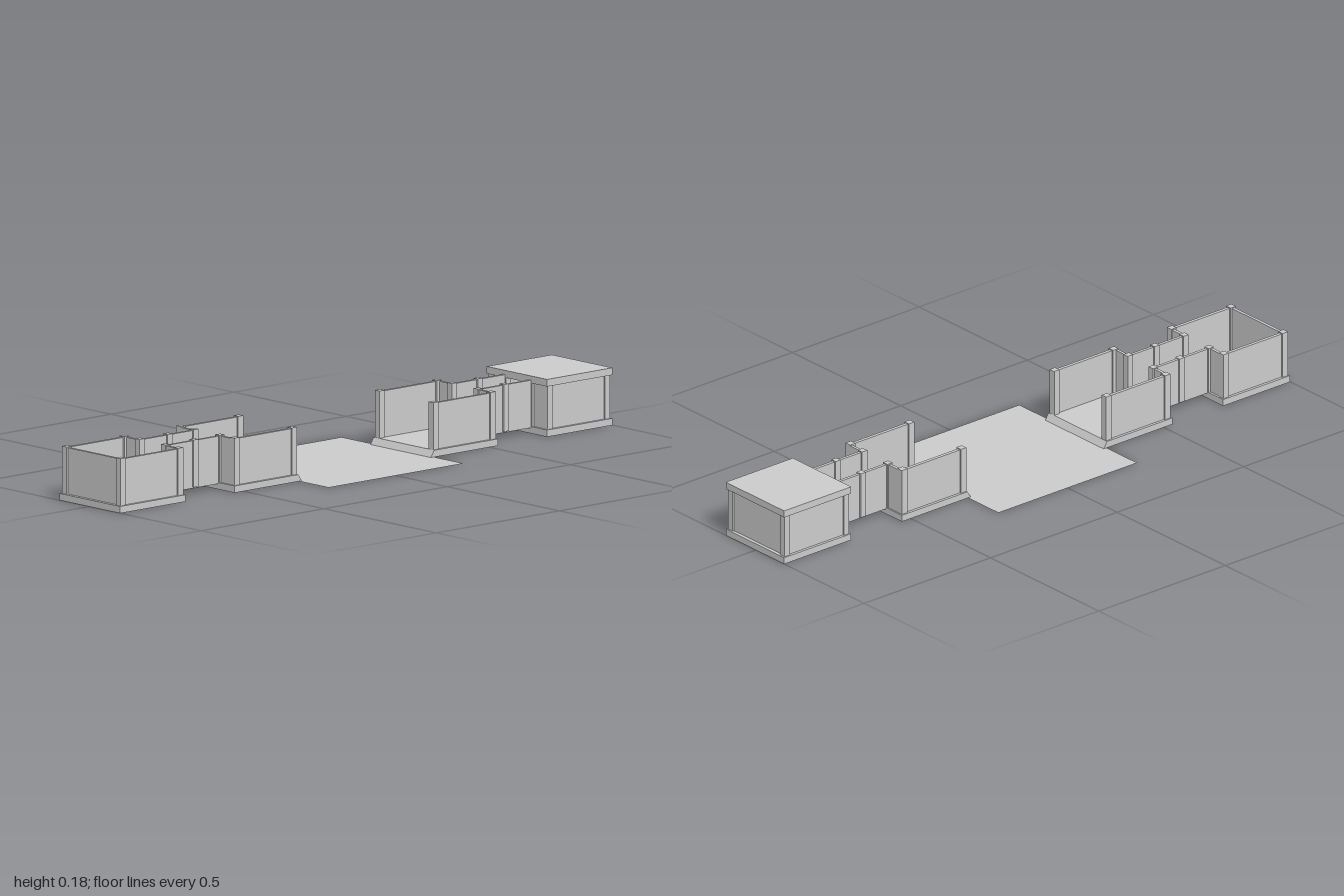
import * as THREE from 'three';

const grey = new THREE.MeshStandardMaterial({ color: 0xcccccc, flatShading: true, side: THREE.DoubleSide });
const ZC = 0.004; // the rooms sit slightly forward of the plaza centre
const HALF = 0.135; // half depth of a room base
const FLOOR = 0.021, WALL_TOP = 0.163, POST_TOP = 0.166;

// Box given by its limits
function box(parent, name, x0, x1, y0, y1, z0, z1) {
  const mesh = new THREE.Mesh(new THREE.BoxGeometry(Math.abs(x1 - x0), y1 - y0, Math.abs(z1 - z0)), grey);
  mesh.position.set((x0 + x1) / 2, (y0 + y1) / 2, (z0 + z1) / 2);
  mesh.name = name;
  parent.add(mesh);
}

function post(parent, x, z, size = 0.021) {
  const h = size / 2;
  box(parent, 'post', x - h, x + h, FLOOR, POST_TOP, z - h, z + h);
}

// Walls and posts that repeat on both long sides of a room
function roomSides(room, x0, x1, s) {
  box(room, 'sideWall', x0, x1, FLOOR, WALL_TOP, s * 0.115, s * 0.126);
  post(room, x0, s * 0.12);
  post(room, x1, s * 0.12);
}

// Short wall beside the corridor doorway
function doorWall(room, x, s) {
  box(room, 'doorWall', x - 0.005, x + 0.005, FLOOR, WALL_TOP, s * 0.058, s * 0.12);
}

function endRoom(side, roofed) {
  const room = new THREE.Group();
  room.name = 'endRoom';
  box(room, 'base', side * 0.735, side, 0, FLOOR, -HALF, HALF);
  box(room, 'endWall', side * 0.979, side * 0.989, FLOOR, WALL_TOP, -0.12, 0.12);
  for (const s of [-1, 1]) {
    roomSides(room, side * 0.75, side * 0.984, s);
    doorWall(room, side * 0.747, s);
  }
  if (roofed) box(room, 'roof', side * 0.735, side, 0.154, 0.176, -HALF, HALF);
  return room;
}

function corridor(side) {
  const hall = new THREE.Group();
  hall.name = 'corridor';
  box(hall, 'corridorFloor', side * 0.53, side * 0.737, 0.017, FLOOR, -0.062, 0.062);
  for (const s of [-1, 1]) {
    box(hall, 'corridorWall', side * 0.525, side * 0.745, FLOOR, WALL_TOP, s * 0.053, s * 0.063);
    for (const x of [0.525, 0.63, 0.745]) post(hall, side * x, s * 0.058, 0.02);
  }
  return hall;
}

function innerRoom(side) {
  const room = new THREE.Group();
  room.name = 'innerRoom';
  // Base with a sloping edge towards the plaza
  const profile = new THREE.Shape([[0.262, 0], [0.535, 0], [0.535, FLOOR], [0.276, FLOOR]]
    .map(([x, y]) => new THREE.Vector2(side * x, y)));
  const base = new THREE.Mesh(new THREE.ExtrudeGeometry(profile, { depth: HALF * 2, bevelEnabled: false }), grey);
  base.position.z = -HALF;
  base.name = 'rampedBase';
  room.add(base);
  for (const s of [-1, 1]) {
    roomSides(room, side * 0.287, side * 0.52, s);
    doorWall(room, side * 0.525, s);
  }
  return room;
}

export function createModel() {
  const model = new THREE.Group();
  model.name = 'roomLayout';

  // Thin open plaza in the middle
  const plaza = new THREE.Mesh(new THREE.PlaneGeometry(0.548, 0.544), grey);
  plaza.rotation.x = -Math.PI / 2;
  plaza.position.y = 0.0005;
  plaza.name = 'plaza';
  model.add(plaza);

  // A wing of two rooms and a corridor on each side; only the left end room has a roof
  for (const side of [-1, 1]) {
    const wing = new THREE.Group();
    wing.name = side > 0 ? 'leftWing' : 'rightWing';
    wing.position.z = ZC;
    wing.add(innerRoom(side), corridor(side), endRoom(side, side > 0));
    model.add(wing);
  }
  return model;
}
